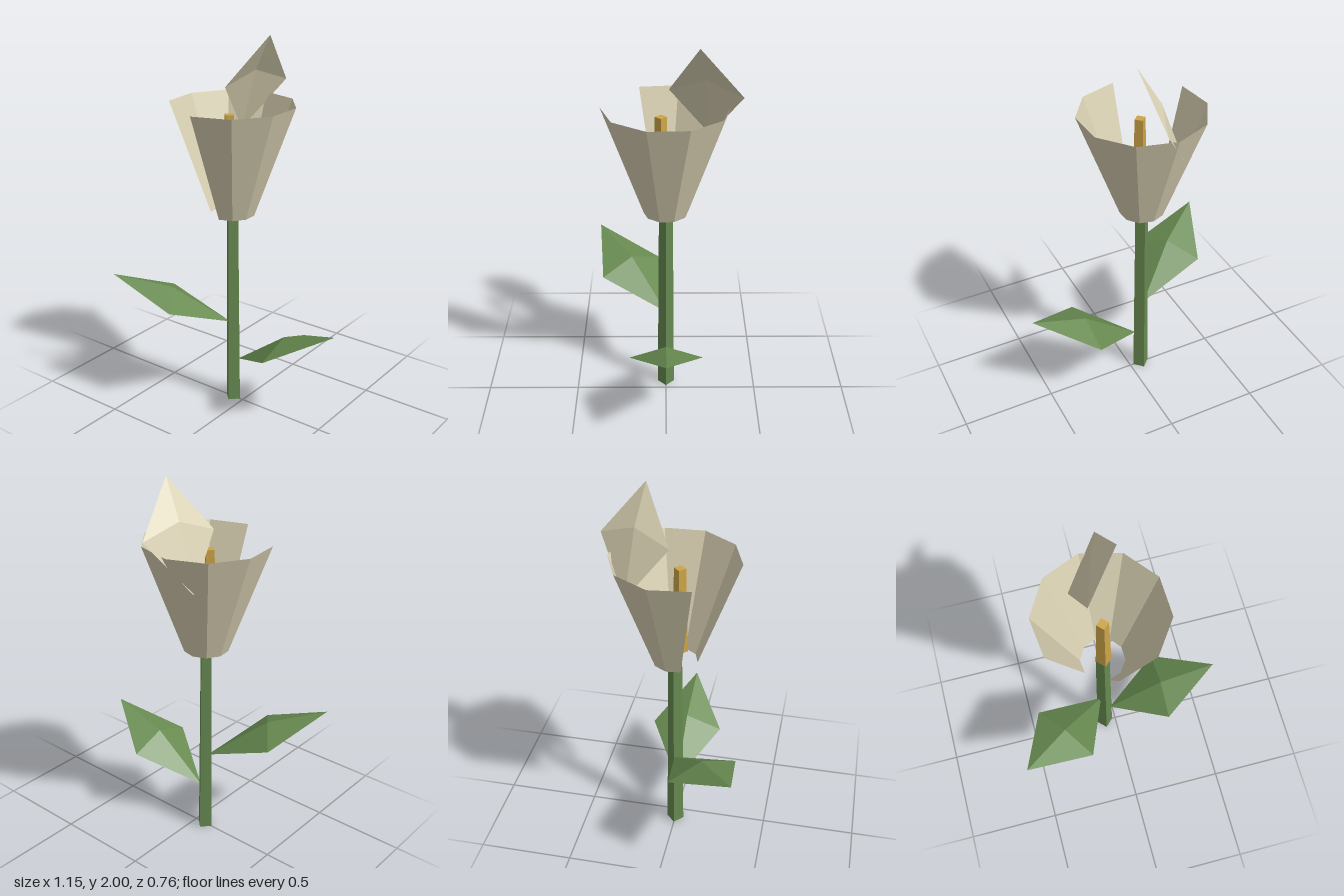
import * as THREE from 'three';

export function createModel() {
  const flower = new THREE.Group();
  flower.name = 'flower';

  const material = (name, color, side = THREE.FrontSide) =>
    new THREE.MeshStandardMaterial({ name, color, side, flatShading: true });
  const green = material('leaf green', 0x678a50, THREE.DoubleSide);
  const cream = material('petal cream', 0xd8d0b2, THREE.DoubleSide);
  const gold = material('spadix gold', 0xcda548);

  const add = (name, geometry, mat) => {
    const mesh = new THREE.Mesh(geometry, mat);
    mesh.name = name;
    flower.add(mesh);
    return mesh;
  };

  const axisX = -0.065;

  // Four-sided tapering post between two heights
  const post = (name, rTop, rBottom, y0, y1, z, mat) =>
    add(name, new THREE.CylinderGeometry(rTop, rBottom, y1 - y0, 4), mat)
      .position.set(axisX, (y0 + y1) / 2, z);

  post('stem', 0.036, 0.046, 0, 1.15, 0, green);
  post('spadix', 0.03, 0.04, 1.15, 1.62, 0.025, gold);

  // Open wrapped petal with a gap at the front
  const wrap = new THREE.CylinderGeometry(0.326, 0.116, 0.58, 8, 1, true, 0, 5.15);
  add('wrappedPetal', wrap, cream).position.set(axisX, 1.38, 0);

  // Diamond blade: four rim corners around a raised centre
  const blade = (name, base, sideA, tip, sideB, mat) => {
    const rim = [base, sideA, tip, sideB];
    const centre = [0, 1, 2].map(i => rim.reduce((sum, p) => sum + p[i], 0) / 4);
    centre[1] += 0.068;
    const positions = [];
    rim.forEach((p, i) => positions.push(...p, ...rim[(i + 1) % 4], ...centre));
    const geometry = new THREE.BufferGeometry();
    geometry.setAttribute('position', new THREE.Float32BufferAttribute(positions, 3));
    geometry.computeVertexNormals();
    add(name, geometry, mat);
  };

  blade('leftLeaf', [-0.03, 0.25, 0], [0.27, 0.407, 0.193], [0.575, 0.567, 0],
    [0.27, 0.407, -0.193], green);
  blade('rightLeaf', [-0.083, 0.46, 0], [-0.447, 0.602, 0.04], [-0.577, 0.745, 0.378],
    [-0.215, 0.602, 0.35], green);
  blade('petalTip', [-0.175, 1.483, -0.225], [-0.122, 1.742, -0.015], [0.049, 2, -0.16],
    [0, 1.742, -0.378], cream);

  return flower;
}
